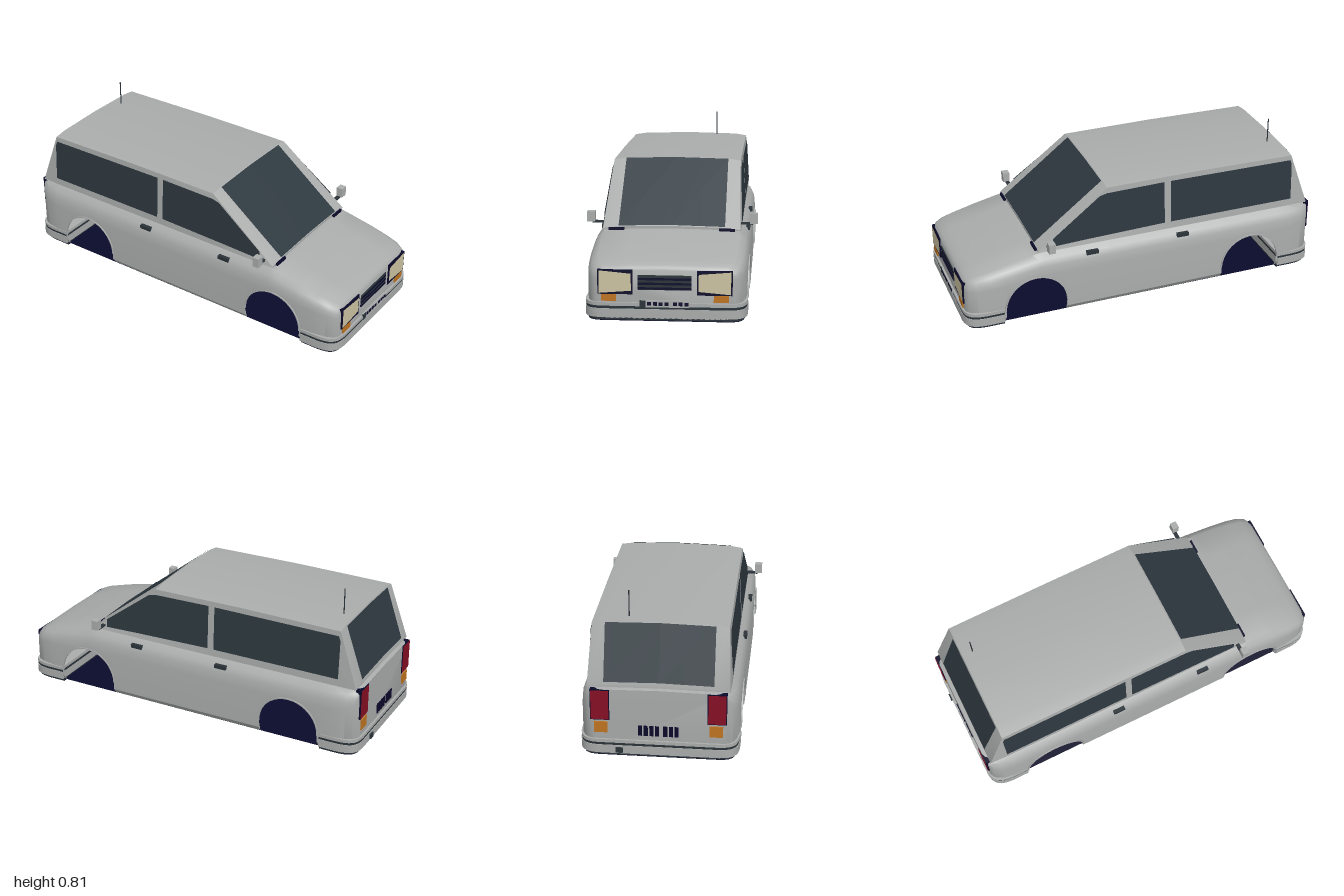
import * as THREE from 'three';
import { toCreasedNormals } from 'three/addons/utils/BufferGeometryUtils.js';

const mat = (name, color, side = THREE.FrontSide) => {
  const m = new THREE.MeshStandardMaterial({ color, side });
  m.name = name;
  return m;
};

export function createModel() {
  const van = new THREE.Group();
  van.name = 'van';
  const paint = mat('silver paint', 0xaaacac, THREE.DoubleSide);
  const glass = mat('dark glass', 0x2d383f, THREE.DoubleSide);
  const trim = mat('slate trim', 0x2b343a);
  const navy = mat('navy black', 0x09092a, THREE.DoubleSide);
  const cream = mat('cream lens', 0xcdc4a2, THREE.DoubleSide);
  const amber = mat('amber lens', 0xbf7420);
  const red = mat('red lens', 0x860f24);

  const add = (name, geometry, material) => {
    const mesh = new THREE.Mesh(geometry, material);
    mesh.name = name;
    van.add(mesh);
    return mesh;
  };
  // Box given by its limits on each axis
  const box = (name, material, [x0, x1], [y0, y1], [z0, z1]) =>
    add(name, new THREE.BoxGeometry(x1 - x0, y1 - y0, z1 - z0), material)
      .position.set((x0 + x1) / 2, (y0 + y1) / 2, (z0 + z1) / 2);
  const span = (s, a, b) => (s > 0 ? [a, b] : [-b, -a]);

  // Skin over half sections (outer bottom to centre top), mirrored, front to back
  const loft = (halves, capped) => {
    const rings = halves.map(h => [...h, ...h.slice(0, -1).reverse().map(([x, y, z]) => [-x, y, z])]);
    const n = rings[0].length, index = [];
    for (let i = 0; i < rings.length - 1; i++) {
      for (let j = 0; j < n - 1; j++) {
        const a = i * n + j, c = a + n;
        index.push(a, c, a + 1, a + 1, c, c + 1);
      }
    }
    if (capped) {
      const e = (rings.length - 1) * n;
      for (let j = 1; j < n - 1; j++) index.push(0, j, j + 1, e, e + j + 1, e + j);
    }
    const g = new THREE.BufferGeometry();
    g.setAttribute('position', new THREE.Float32BufferAttribute(rings.flat(2), 3));
    g.setIndex(index);
    return toCreasedNormals(g, 0.6);
  };

  // Lower body: z, half width, top height, shoulder size
  const plan = [
    [0.98, 0.32, 0.25, 0.4], [0.975, 0.34, 0.262, 0.45], [0.96, 0.358, 0.275, 0.5],
    [0.92, 0.376, 0.292, 0.6], [0.85, 0.387, 0.31, 0.7], [0.75, 0.392, 0.337, 0.85],
    [0.58, 0.395, 0.375, 1], [0.2, 0.395, 0.375, 1], [-0.85, 0.392, 0.372, 1],
    [-0.92, 0.381, 0.371, 0.9], [-0.955, 0.364, 0.369, 0.7], [-0.97, 0.348, 0.367, 0.5],
    [-0.98, 0.325, 0.364, 0.3],
  ];
  const section = (z, yb) => {
    let i = 0;
    while (i < plan.length - 2 && plan[i + 1][0] > z) i++;
    const f = (z - plan[i][0]) / (plan[i + 1][0] - plan[i][0]);
    const [, w, t, k] = plan[i].map((v, c) => v + (plan[i + 1][c] - v) * f);
    const sill = yb < 0.02;
    return [
      [sill ? w - 0.02 : w, yb, z], [w, sill ? 0.04 : yb, z],
      [w, Math.max(yb, t - 0.125 * k), z], [w - 0.005, t - 0.075 * k, z],
      [w - 0.02, t - 0.04 * k, z], [w - 0.05, t - 0.015 * k, z],
      [w * 0.5, t - 0.003, z], [0, t, z],
    ];
  };
  // The lower edge follows the wheel openings
  const R = 0.165, axleY = 0.08, low = 0.012;
  const arch = zc => {
    const out = [section(zc + R, low)];
    for (let i = 0; i <= 20; i++) {
      const a = Math.PI * i / 20;
      out.push(section(zc + R * Math.cos(a), axleY + R * Math.sin(a)));
    }
    return [...out, section(zc - R, low)];
  };
  const plain = (hi, lo) => plan.filter(p => p[0] < hi && p[0] > lo).map(p => section(p[0], low));
  add('lowerBody', loft([
    ...plain(1, 0.61 + R), ...arch(0.61), ...plain(0.61 - R, -0.61 + R),
    ...arch(-0.61), ...plain(-0.61 - R, -1),
  ], true), paint);

  // Slim lips around the wheel openings
  for (const s of [1, -1]) for (const zc of [0.61, -0.61]) {
    const lip = new THREE.Shape();
    lip.absarc(0, 0, R + 0.006, 0, Math.PI, false);
    lip.absarc(0, 0, R, Math.PI, 0, true);
    const g = new THREE.ExtrudeGeometry(lip, { depth: 0.012, bevelEnabled: false, curveSegments: 20 });
    g.rotateY(Math.PI / 2).translate(s > 0 ? 0.387 : -0.399, axleY, zc);
    add('wheelArchLip', g, paint);
  }

  // Floor
  add('floor', new THREE.PlaneGeometry(0.75, 1.9).rotateX(Math.PI / 2).translate(0, 0.012, 0), navy);

  // Cabin with a crowned roof and sloping ends
  const cabinSection = ([z, xt, yt]) =>
    [[0.352, 0.365, z], [xt, yt - 0.016, z], [0.27, yt - 0.006, z], [0, yt, z]];
  add('cabin', loft([[0.58, 0.349, 0.387], [0.2, 0.335, 0.683], [-0.3, 0.335, 0.685],
    [-0.86, 0.335, 0.677], [-0.96, 0.349, 0.383]].map(cabinSection), true), paint);

  // Windscreen and rear window lie on the slopes
  const pane = (name, ends, dy, dz) => add(name, loft(ends.map(([z, y]) =>
    [[0.27, y - 0.006 + dy, z + dz], [0, y + dy, z + dz]]), false), glass);
  pane('windscreen', [[0.578, 0.3886], [0.204, 0.6799]], 0.003, 0.002);
  pane('rearWindow', [[-0.862, 0.671], [-0.956, 0.395]], 0.001, -0.003);

  // Side windows, outlined as z, y
  const sideWindows = {
    frontSideWindow: [[0.5, 0.39], [0.5, 0.435], [0.24, 0.628], [0.2, 0.638], [-0.12, 0.642], [-0.12, 0.405], [0.3, 0.396]],
    rearSideWindow: [[-0.155, 0.405], [-0.155, 0.642], [-0.853, 0.636], [-0.862, 0.61], [-0.862, 0.405]],
  };
  for (const s of [1, -1]) for (const [name, pts] of Object.entries(sideWindows)) {
    const g = new THREE.ShapeGeometry(new THREE.Shape(pts.map(([z, y]) => new THREE.Vector2(-z * s, y))));
    g.rotateY(s * Math.PI / 2);
    const p = g.attributes.position;
    for (let i = 0; i < p.count; i++) p.setX(i, s * (0.356 - 0.057 * (p.getY(i) - 0.365)));
    g.computeVertexNormals();
    add(name, g, glass);
  }

  // Layered bumpers wrapping both ends
  const layers = [
    [0, 0.004, 0.015, navy], [0.004, 0.018, 0.012, trim], [0.018, 0.062, 0, paint],
    [0.062, 0.075, 0.003, trim], [0.075, 0.092, 0.001, paint],
  ];
  for (const end of [0, Math.PI]) for (const [y0, y1, inset, m] of layers) {
    const w = 0.396 - inset, z = 0.992 - inset;
    const outline = new THREE.Shape();
    outline.moveTo(-w, 0.785);
    outline.lineTo(w, 0.785);
    outline.lineTo(w, 0.88);
    outline.bezierCurveTo(w - 0.004, 0.95, w - 0.02, z - 0.004, 0.3, z);
    outline.lineTo(-0.3, z);
    outline.bezierCurveTo(-w + 0.02, z - 0.004, -w + 0.004, 0.95, -w, 0.88);
    const g = new THREE.ExtrudeGeometry(outline, { depth: y1 - y0, bevelEnabled: false, curveSegments: 8 });
    g.rotateX(Math.PI / 2).translate(0, y1, 0).rotateY(end);
    add(end ? 'rearBumper' : 'frontBumper', toCreasedNormals(g, 0.6), m);
  }

  // Grille
  box('grille', trim, [-0.13, 0.128], [0.155, 0.227], [0.975, 0.984]);
  for (const y of [0.161, 0.184, 0.207]) box('grilleSlot', navy, [-0.13, 0.128], [y - 0.004, y + 0.007], [0.98, 0.986]);

  for (const s of [1, -1]) {
    // Headlamps with tapering lenses, and indicators below
    box('headlampFrame', navy, span(s, 0.155, 0.325), [0.132, 0.252], [0.965, 0.985]);
    const lens = new THREE.Shape([[0.163, 0.15], [0.318, 0.137], [0.318, 0.248], [0.163, 0.234]]
      .map(([x, y]) => new THREE.Vector2(s * x, y)));
    add('headlampLens', new THREE.ShapeGeometry(lens).translate(0, 0, 0.987), cream);
    box('frontIndicator', amber, span(s, 0.235, 0.308), [0.098, 0.131], [0.965, 0.986]);
    // Rear lamps
    box('rearLampFrame', navy, span(s, 0.24, 0.335), [0.196, 0.358], [-0.984, -0.955]);
    box('rearLamp', red, span(s, 0.244, 0.331), [0.2, 0.354], [-0.987, -0.96]);
    box('rearIndicator', amber, span(s, 0.25, 0.317), [0.128, 0.186], [-0.986, -0.96]);
    // Mirrors
    box('mirrorArm', trim, span(s, 0.345, 0.41), [0.39, 0.4], [0.515, 0.535]);
    box('mirrorHead', paint, span(s, 0.395, 0.435), [0.397, 0.45], [0.512, 0.548]);
    // Door handles
    for (const z of [0.265, -0.245]) box('doorHandle', trim, span(s, 0.37, 0.39), [0.32, 0.34], [z, z + 0.065]);
    box('wiperMount', navy, span(s, 0.24, 0.32), [0.364, 0.377], [0.58, 0.592]);
  }

  // Number plate panel with plain dark blocks, front and rear
  box('plate', paint, [-0.12, 0.116], [0.072, 0.105], [0.985, 0.995]);
  box('plateEnd', trim, [-0.12, -0.092], [0.072, 0.105], [0.99, 0.997]);
  for (const x of [-0.084, -0.056, -0.028, 0, 0.04, 0.068, 0.096]) {
    box('frontPlateBlock', navy, [x, x + 0.019], [0.081, 0.098], [0.99, 0.997]);
    box('rearPlateBlock', navy, [-x - 0.004, -x + 0.016], [0.118, 0.172], [-0.985, -0.978]);
  }

  // Tow point and aerial
  box('towPoint', trim, [0.175, 0.21], [0.025, 0.052], [-1, -0.985]);
  add('aerial', new THREE.CylinderGeometry(0.003, 0.003, 0.14, 8).translate(0.16, 0.74, -0.8), trim);
  return van;
}
